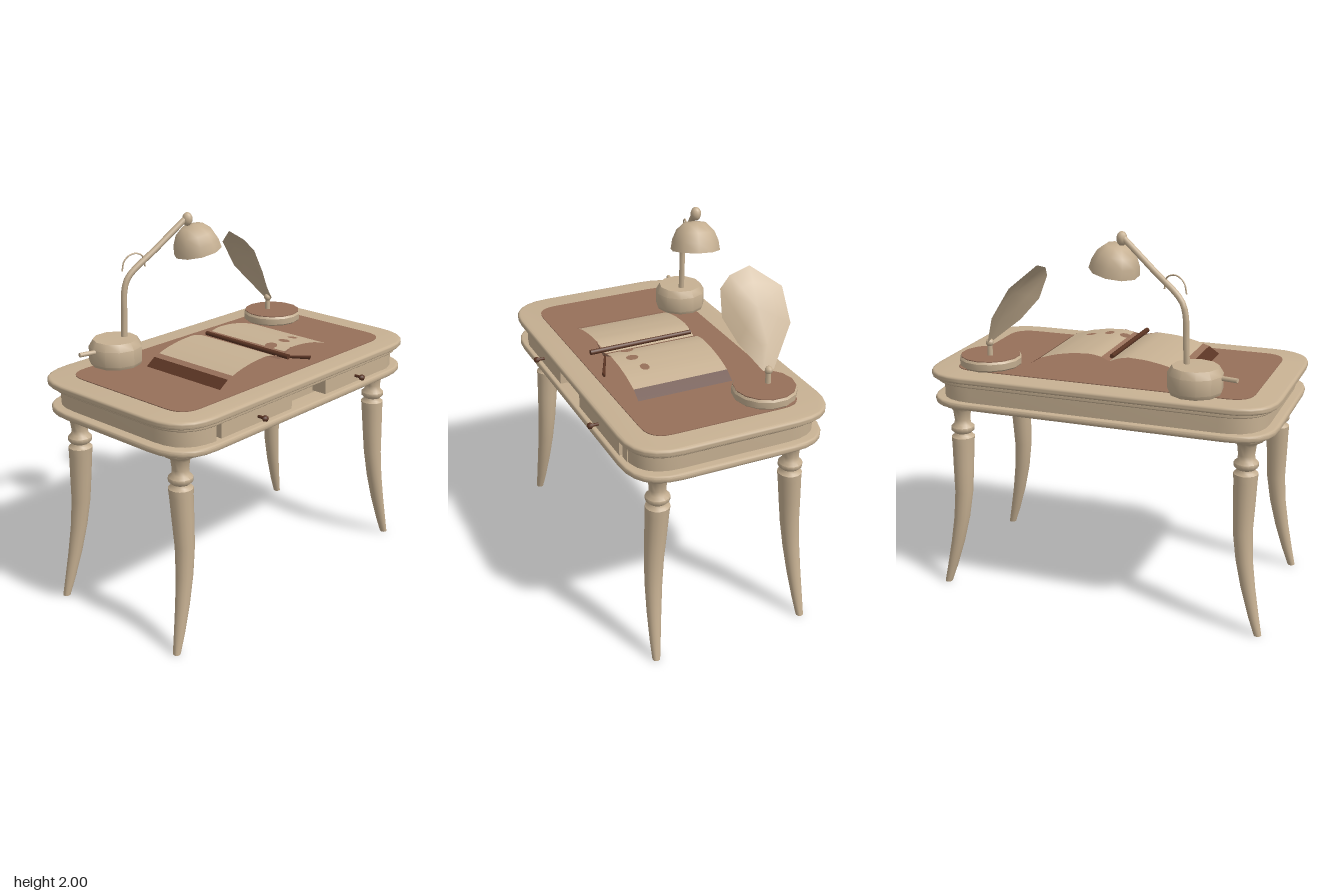
import * as THREE from 'three';
import { toCreasedNormals } from 'three/addons/utils/BufferGeometryUtils.js';

const mat = (name, color, side = THREE.FrontSide) => {
  const m = new THREE.MeshStandardMaterial({ color, side });
  m.name = name;
  return m;
};

export function createModel() {
  const model = new THREE.Group();
  model.name = 'writingDesk';
  const cream = mat('cream wood', 0xc6b092, THREE.DoubleSide);
  const paper = cream.clone();
  paper.name = 'cream paper';
  paper.side = THREE.FrontSide;
  const leather = mat('brown leather', 0x97705a);
  const dark = mat('dark brown', 0x5a3423);

  const add = (name, geo, material, x = 0, y = 0, z = 0, parent = model) => {
    const mesh = new THREE.Mesh(geo, material);
    mesh.name = name;
    mesh.position.set(x, y, z);
    parent.add(mesh);
    return mesh;
  };
  const V = (x, y, z) => new THREE.Vector3(x, y, z);
  const tube = (name, pts, r, material, seg = 12) => add(name,
    new THREE.TubeGeometry(new THREE.CatmullRomCurve3(pts.map(p => V(...p)), false, 'centripetal'), seg, r, 8), material);
  // straight rod with closed ends
  const rod = (name, a, b, r0, r1, material) => {
    const p = V(...a), q = V(...b), d = q.clone().sub(p);
    const m = add(name, new THREE.CylinderGeometry(r1, r0, d.length(), 8), material);
    m.position.copy(p).add(q).multiplyScalar(0.5);
    m.quaternion.setFromUnitVectors(V(0, 1, 0), d.normalize());
    return m;
  };

  // rounded plan outline; z0 is the back, z1 the front, notch recesses the front
  const outline = (hx, z0, z1, r, notch = 0) => {
    const s = new THREE.Shape(), f = -z1, b = -z0;
    s.moveTo(-hx + r, f);
    if (notch) {
      s.lineTo(-0.7, f); s.lineTo(-0.66, f + notch);
      s.lineTo(0.68, f + notch); s.lineTo(0.72, f);
    }
    s.lineTo(hx - r, f); s.quadraticCurveTo(hx, f, hx, f + r);
    s.lineTo(hx, b - r); s.quadraticCurveTo(hx, b, hx - r, b);
    s.lineTo(-hx + r, b); s.quadraticCurveTo(-hx, b, -hx, b - r);
    s.lineTo(-hx, f + r); s.quadraticCurveTo(-hx, f, -hx + r, f);
    return s;
  };
  const slab = (name, shape, y0, y1, bevel, material) => {
    const g = new THREE.ExtrudeGeometry(shape, {
      depth: y1 - y0 - 2 * bevel, curveSegments: 6, bevelEnabled: bevel > 0,
      bevelThickness: bevel, bevelSize: bevel, bevelOffset: -bevel, bevelSegments: 3 });
    g.rotateX(-Math.PI / 2);
    return add(name, toCreasedNormals(g, 0.6), material, 0, y0 + bevel, 0);
  };

  // desk body
  slab('tableTop', outline(0.935, -0.56, 0.525, 0.24), 1.212, 1.25, 0.014, cream);
  slab('topMoulding', outline(0.905, -0.54, 0.505, 0.23), 1.19, 1.215, 0.008, cream);
  slab('apron', outline(0.875, -0.515, 0.485, 0.21, 0.07), 1.09, 1.2, 0, cream);
  slab('bottomMoulding', outline(0.925, -0.545, 0.52, 0.235), 1.068, 1.104, 0.012, cream);
  slab('leatherInlay', outline(0.8, -0.43, 0.4, 0.12), 1.248, 1.254, 0, leather);

  // drawers with knobs
  for (const [x, kx] of [[-0.39, -0.385], [0.405, 0.402]]) {
    add('drawer', new THREE.BoxGeometry(0.52, 0.078, 0.1), cream, x, 1.155, 0.452);
    const knob = [[0, 0], [0.008, 0], [0.008, 0.03], [0.017, 0.042], [0.014, 0.056], [0, 0.062]];
    add('drawerKnob', new THREE.LatheGeometry(knob.map(p => new THREE.Vector2(...p)), 8), dark, kx, 1.15, 0.5)
      .rotation.x = Math.PI / 2;
  }

  // turned legs that sweep outwards towards the foot
  const legProfile = [[0, 0], [0.02, 0], [0.028, 0.1], [0.037, 0.25], [0.044, 0.4], [0.05, 0.55], [0.056, 0.7],
    [0.06, 0.82], [0.063, 0.862], [0.05, 0.872], [0.046, 0.885], [0.062, 0.9], [0.062, 0.92], [0.045, 0.935],
    [0.042, 0.96], [0.048, 1.01], [0.06, 1.03], [0.085, 1.04], [0.092, 1.055], [0.092, 1.075]];
  for (const sx of [-1, 1]) for (const sz of [-1, 1]) {
    const g = new THREE.LatheGeometry(legProfile.map(p => new THREE.Vector2(...p)), 14);
    const p = g.attributes.position;
    for (let i = 0; i < p.count; i++) {
      const y = p.getY(i);
      p.setX(i, p.getX(i) + sx * 0.105 * Math.pow(Math.max(0, (0.55 - y) / 0.55), 1.5));
      p.setZ(i, p.getZ(i) + sz * 0.055 * Math.max(0, 1 - y / 0.86));
    }
    add('leg', toCreasedNormals(g, 0.9), cream, sx * 0.78, 0, sz > 0 ? 0.355 : -0.38);
  }

  // open book: an arched sheet cut into coloured bands
  const arch = [[0, 1.312], [0.05, 1.333], [0.1, 1.342], [0.2, 1.337], [0.3, 1.32], [0.39, 1.292], [0.45, 1.252]];
  const archY = x => {
    const a = Math.min(Math.abs(x), 0.45);
    const i = Math.max(1, arch.findIndex(p => p[0] >= a - 1e-9));
    const [x0, y0] = arch[i - 1], [x1, y1] = arch[i];
    return y0 + (y1 - y0) * (a - x0) / (x1 - x0);
  };
  const bands = [[-0.45, -0.39, dark], [-0.39, -0.355, leather], [-0.355, 0, paper],
    [0, 0.045, leather], [0.045, 0.39, paper], [0.39, 0.45, dark]];
  for (const [a, b, m] of bands) {
    const g = new THREE.PlaneGeometry(b - a, 0.52, 10, 1);
    g.rotateX(-Math.PI / 2);
    g.translate((a + b) / 2, 0, 0.045);
    const p = g.attributes.position;
    for (let i = 0; i < p.count; i++) p.setY(i, archY(p.getX(i)));
    g.computeVertexNormals();
    add('bookBand', g, m);
  }
  // stains on the page
  for (const [x, z, r, k] of [[0.155, 0.21, 0.026, 1.3], [0.255, 0.185, 0.028, 0.9], [0.06, 0.2, 0.03, 1.2]]) {
    const g = new THREE.CircleGeometry(r, 9).scale(1, k, 1).rotateX(-Math.PI / 2);
    const p = g.attributes.position;
    for (let i = 0; i < p.count; i++) p.setY(i, archY(x + p.getX(i)) + 0.003);
    add('pageStain', g, leather, x, 0, z);
  }
  // gutter at the front edge, ribbon and pen
  const gutter = new THREE.Shape([[0, 1.3], [0.1, 1.342], [0, 1.322], [-0.1, 1.342]].map(p => new THREE.Vector2(...p)));
  add('bookGutter', new THREE.ExtrudeGeometry(gutter, { depth: 0.006, bevelEnabled: false }), leather, 0, 0, 0.302);
  const ribbon = rod('bookRibbon', [0.01, 1.312, 0.3], [0.17, 1.282, 0.375], 0.008, 0.013, dark);
  ribbon.scale.z = 0.5;
  rod('pen', [-0.008, 1.33, 0.375], [-0.008, 1.335, -0.2], 0.014, 0.012, dark);

  // lamp
  const base = [[0, 0], [0.13, 0], [0.14, 0.02], [0.14, 0.1], [0.118, 0.137], [0, 0.14]];
  add('lampBase', toCreasedNormals(new THREE.LatheGeometry(base.map(p => new THREE.Vector2(...p)), 11), 0.65),
    cream, -0.51, 1.25, -0.38);
  rod('lampSwitch', [-0.73, 1.342, -0.41], [-0.62, 1.34, -0.385], 0.012, 0.012, cream);
  tube('lampStem', [[-0.462, 1.37, -0.365], [-0.455, 1.5, -0.365], [-0.45, 1.63, -0.364], [-0.425, 1.7, -0.358],
    [-0.26, 1.835, -0.31], [-0.09, 1.972, -0.262]], 0.016, cream, 24);
  tube('lampCable', [[-0.455, 1.735, -0.37], [-0.44, 1.79, -0.365], [-0.395, 1.82, -0.35],
    [-0.345, 1.805, -0.335], [-0.33, 1.745, -0.33]], 0.004, cream, 16);
  add('lampJoint', new THREE.SphereGeometry(0.028, 10, 8).scale(1, 1.3, 1), cream, -0.085, 1.964, -0.26);
  const shade = [[0.13, 0], [0.122, 0.05], [0.1, 0.1], [0.06, 0.138], [0, 0.145]];
  const shadeMesh = add('lampShade', new THREE.LatheGeometry(shade.map(p => new THREE.Vector2(...p)), 10),
    cream, -0.035, 1.79, -0.235);
  shadeMesh.rotation.set(-0.08, 0, 0.19);

  // gramophone: turntable, post and leaf-shaped horn
  const turntable = [[0, 0], [0.15, 0], [0.163, 0.012], [0.165, 0.045], [0.158, 0.056], [0, 0.056]];
  add('gramophoneBase', toCreasedNormals(new THREE.LatheGeometry(turntable.map(p => new THREE.Vector2(...p)), 14), 0.6),
    cream, 0.642, 1.25, -0.29);
  add('turntableDisc', new THREE.CylinderGeometry(0.157, 0.157, 0.006, 14), leather, 0.642, 1.308, -0.29);
  add('hornPost', new THREE.CylinderGeometry(0.013, 0.016, 0.09, 8), cream, 0.632, 1.345, -0.315);

  const throat = V(0.632, 1.38, -0.315);
  const rim = [[0.632, 1.38, -0.285], [0.5, 1.49, -0.21], [0.41, 1.6, -0.165], [0.355, 1.73, -0.18],
    [0.337, 1.785, -0.24], [0.335, 1.818, -0.35], [0.43, 1.72, -0.488], [0.53, 1.56, -0.488], [0.632, 1.38, -0.345]];
  const centre = V(0.455, 1.64, -0.33), pos = [], idx = [];
  const rings = [0, 0.6, 1];
  rim.forEach(r => rings.forEach(t => {
    // shallow bulge that fades out at the rim
    const q = centre.clone().lerp(V(...r), t).addScaledVector(V(0.8, 0.55, 0.2), 0.03 * (1 - t * t));
    pos.push(q.x, q.y, q.z);
  }));
  for (let i = 0; i < rim.length; i++) for (let j = 0; j < 2; j++) {
    const a = i * 3 + j, b = ((i + 1) % rim.length) * 3 + j;
    idx.push(a, a + 1, b + 1, a, b + 1, b);
  }
  const horn = new THREE.BufferGeometry();
  horn.setAttribute('position', new THREE.Float32BufferAttribute(pos, 3));
  horn.setIndex(idx);
  // turn the faces so the bulging side is the outer one
  const e1 = V(...rim[2]).sub(centre), e2 = V(...rim[3]).sub(centre);
  if (e1.cross(e2).x < 0) horn.setIndex(idx.slice().reverse());
  horn.computeVertexNormals();
  add('gramophoneHorn', toCreasedNormals(horn, 0.7), cream);
  add('hornThroat', new THREE.SphereGeometry(0.022, 8, 6), cream, throat.x, throat.y, throat.z);

  return model;
}
